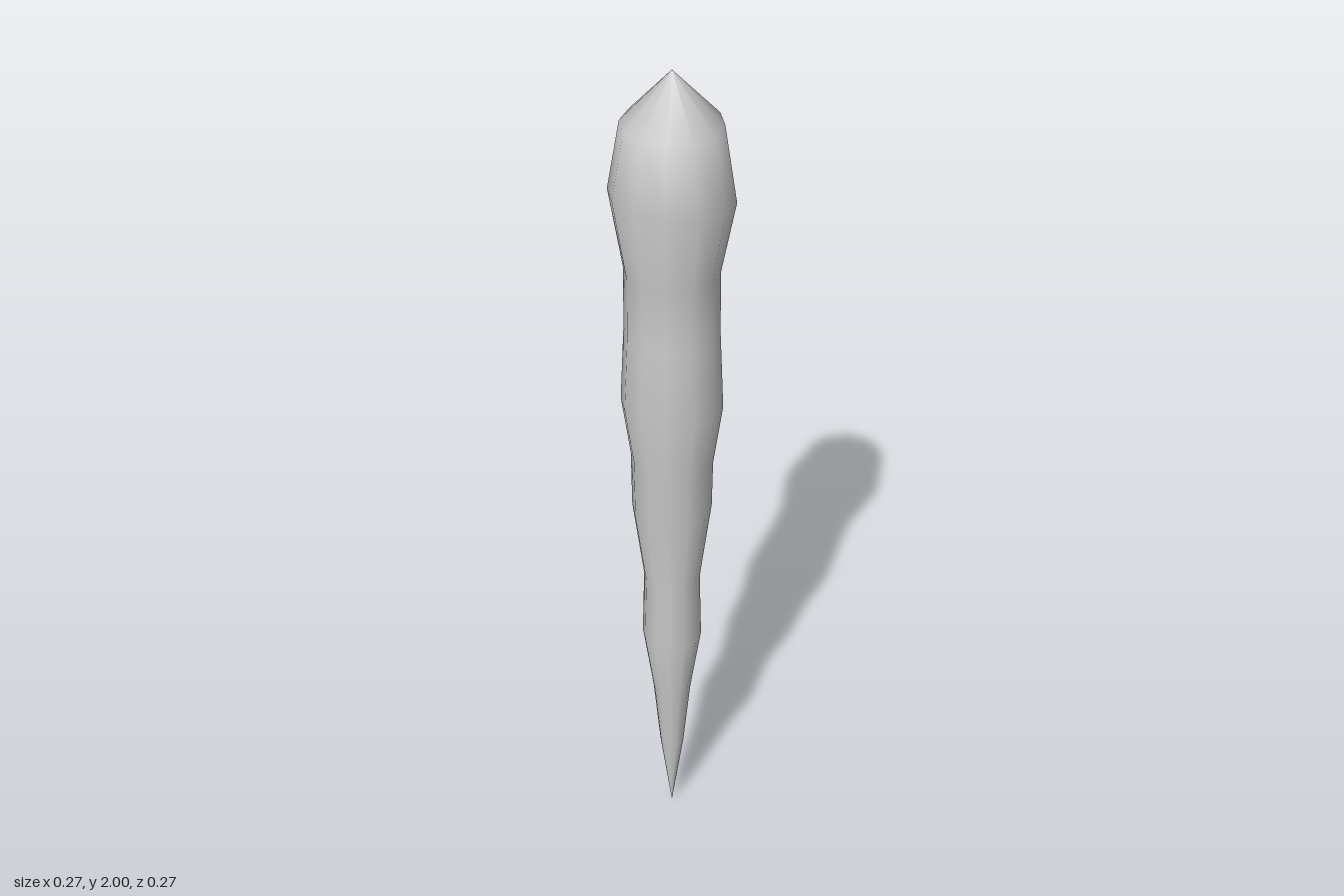
import * as THREE from 'three';

export function createModel() {
  const group = new THREE.Group();
  group.name = 'icicle';

  // Rings from the pointed tip up: radius, height, tilt (drop towards +x)
  const rings = [
    [0, 0, 0], [0.028, 0.2, 0], [0.044, 0.37, 0], [0.069, 0.54, 0],
    [0.065, 0.71, 0], [0.091, 0.91, -0.01], [0.093, 1.04, 0.015],
    [0.114, 1.19, 0.01], [0.106, 1.38, 0], [0.105, 1.53, 0],
    [0.137, 1.71, 0.02], [0.11, 1.88, 0], [0, 2, 0],
  ];
  const geometry = new THREE.LatheGeometry(
    rings.map(([r, y]) => new THREE.Vector2(r, y)), 12);

  // Tilt the uneven rings slightly
  const pos = geometry.attributes.position;
  for (let i = 0; i < pos.count; i++) {
    const [r, y, tilt] = rings[i % rings.length];
    if (r > 0) pos.setY(i, y - tilt * pos.getX(i) / r);
  }

  const body = new THREE.Mesh(geometry,
    new THREE.MeshStandardMaterial({ color: 0xcccccc }));
  body.name = 'taperedSpike';
  group.add(body);
  return group;
}
